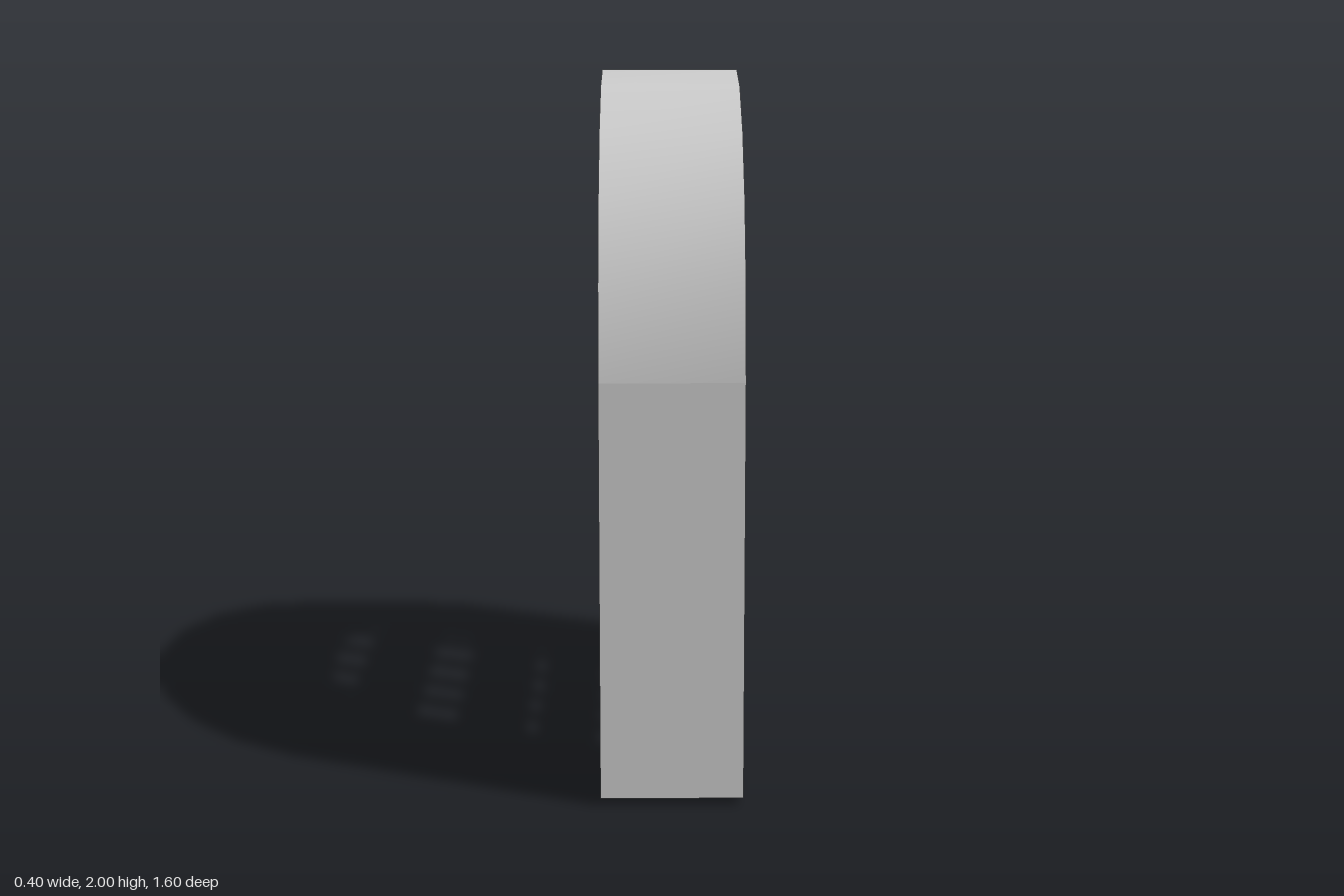
import * as THREE from 'three';
import { toCreasedNormals } from 'three/addons/utils/BufferGeometryUtils.js';

const SPRING = 1.2; // height where the arch leaves the legs

// Extrude a (z, y) outline along x, from x0 to x1
function extrudeX(points, x0, x1) {
  const shape = new THREE.Shape(points.map(([z, y]) => new THREE.Vector2(-z, y)));
  const geo = new THREE.ExtrudeGeometry(shape, { depth: x1 - x0, bevelEnabled: false });
  geo.rotateY(Math.PI / 2);
  return geo.translate(x0, 0, 0);
}

// Complete a right half, listed from the base to the crown, with its mirror image
function mirrored(half) {
  return [...half, ...half.slice(0, -1).reverse().map(([z, y]) => [-z, y])];
}

// Smooth only the outer curve; legs, end faces and inner facets stay flat
function smoothOuterCurve(geo) {
  const flat = geo.index ? geo.toNonIndexed() : geo;
  flat.computeVertexNormals();
  const soft = toCreasedNormals(flat.clone(), Math.PI / 6);
  const pos = flat.attributes.position, n = flat.attributes.normal, s = soft.attributes.normal;
  for (let i = 0; i < pos.count; i += 3) {
    const ids = [i, i + 1, i + 2];
    const top = Math.max(...ids.map((k) => pos.getY(k)));
    const outer = ids.every((k) => Math.hypot(pos.getZ(k), pos.getY(k) - SPRING) > 0.7);
    if (top > SPRING + 0.01 && outer && Math.abs(n.getX(i)) < 0.5) {
      ids.forEach((k) => n.setXYZ(k, s.getX(k), s.getY(k), s.getZ(k)));
    }
  }
  return flat;
}

export function createModel() {
  const group = new THREE.Group();
  group.name = 'portcullisGate';
  const material = new THREE.MeshStandardMaterial({ color: 0xcccccc });
  const add = (name, geo, parent) => {
    const mesh = new THREE.Mesh(geo, material);
    mesh.name = name;
    parent.add(mesh);
    return mesh;
  };

  // Stone arch with its two legs
  const outer = mirrored([[0.8, 0.02], [0.8, SPRING], [0.75, 1.46], [0.637, 1.68],
    [0.467, 1.85], [0.242, 1.963], [0, 2]]);
  const inner = mirrored([[0.545, 0.02], [0.545, SPRING], [0.515, 1.385], [0.44, 1.53],
    [0.318, 1.655], [0.164, 1.73], [0, 1.753]]);
  add('archway', smoothOuterCurve(extrudeX([...outer, ...inner.reverse()], -0.2, 0.2)), group);

  // Upright bars with pointed feet, their tops set into the arch
  const grille = new THREE.Group();
  grille.name = 'grille';
  group.add(grille);
  [[0.403, 1.66], [0.202, 1.76], [0.005, 1.79], [-0.207, 1.76], [-0.414, 1.66]].forEach(([z, top], i) => {
    const w = 0.04;
    const outline = [[z, 0], [z + w, 0.155], [z + w, top], [z - w, top], [z - w, 0.155]];
    add(`uprightBar${i + 1}`, extrudeX(outline, -0.07, -0.03), grille);
  });

  // Cross slats behind the bars, their ends set into the walls
  [[0.22, 0.36], [0.51, 0.695], [0.97, 1.16], [1.4, 1.54]].forEach(([y0, y1], i) => {
    const slat = add(`crossSlat${i + 1}`, new THREE.BoxGeometry(0.08, y1 - y0, 1.1), grille);
    slat.position.set(-0.09, (y0 + y1) / 2, 0);
  });

  return group;
}
